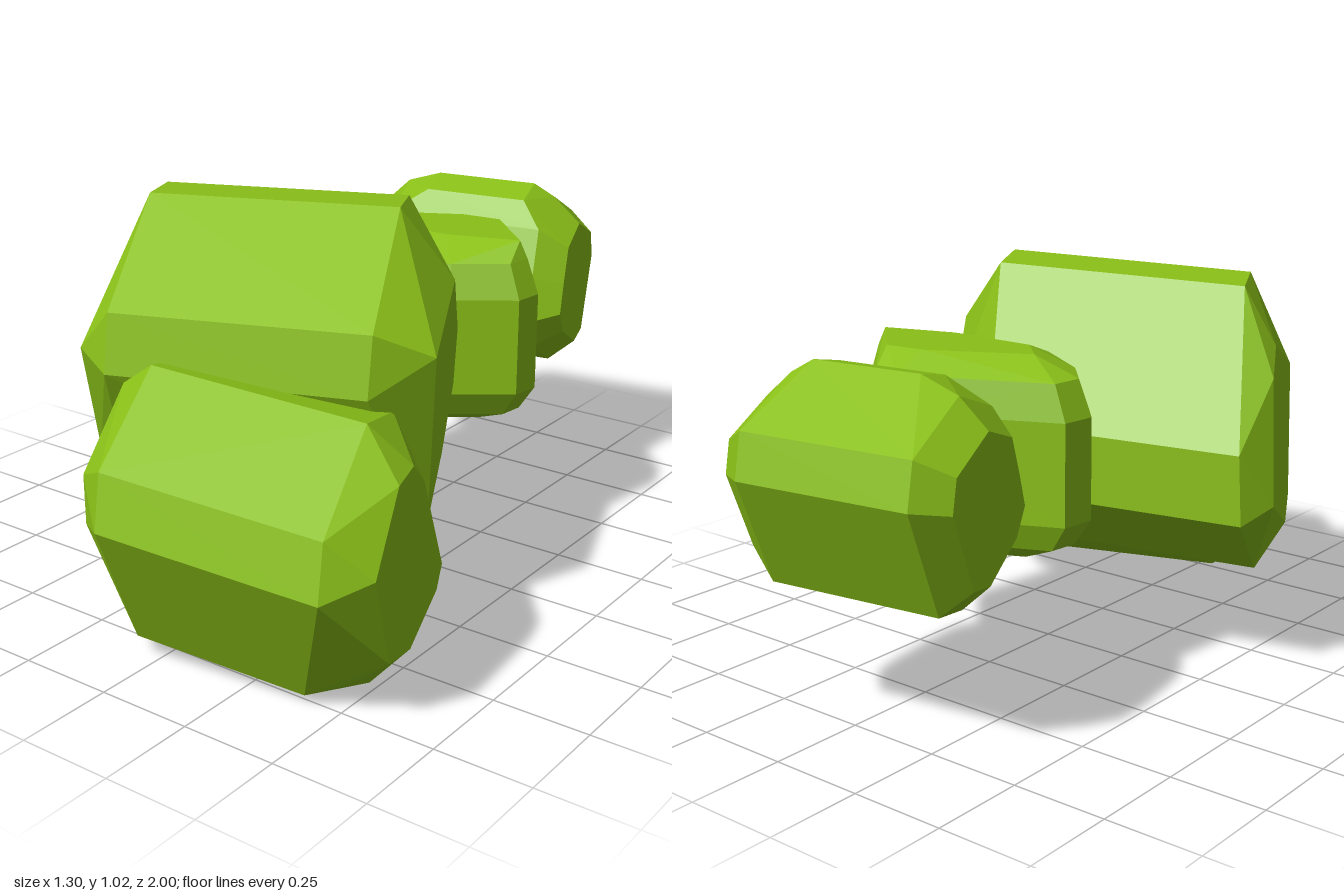
import * as THREE from 'three';
import { ConvexGeometry } from 'three/addons/geometries/ConvexGeometry.js';

const material = new THREE.MeshStandardMaterial({ color: 0x8ac018, flatShading: true });

// A bevelled boulder: cross-sections [offset, outline] put in place by a sheared frame
function boulder(name, sections, place) {
  const points = sections.flatMap(([t, outline]) => outline.map(([a, b]) => place(t, a, b)));
  const mesh = new THREE.Mesh(new ConvexGeometry(points), material);
  mesh.name = name;
  return mesh;
}

// Outline scaled about the middle of its bounds
function shrink(outline, scale) {
  const mid = [0, 1].map((i) => {
    const values = outline.map((p) => p[i]);
    return (Math.min(...values) + Math.max(...values)) / 2;
  });
  return outline.map((p) => p.map((value, i) => mid[i] + (value - mid[i]) * scale));
}

// Frame for boulders lying along x, with (z, y) outlines:
// rise and drift tilt the long axis, skew and lean slant the ends.
const lying = (x, zMid, rise, drift, skew, lean) => (t, z, y) =>
  new THREE.Vector3(x + t + skew * (z - zMid) + lean * (y - 0.64), y + rise * t, z + drift * t);

// Frame for the boulder standing along y, with (x, z) outlines
const standing = (t, x, z) => new THREE.Vector3(x, t, z);

export function createModel() {
  const group = new THREE.Group();
  group.name = 'boulderRow';

  // Front boulder, with one lower front corner cut off
  const frontBody = [[0.963, 0.39], [0.93, 0.525], [0.66, 0.685], [0.48, 0.645],
    [0.42, 0.56], [0.33, 0.27], [0.35, 0.17], [0.64, 0.025], [0.775, 0.1]];
  const frontToe = [[0.79, 0.04]];
  const frontLeft = [[0.88, 0.44], [0.73, 0.595], [0.63, 0.6], [0.55, 0.53],
    [0.4, 0.25], [0.44, 0.2], [0.64, 0.15], [0.79, 0.195]];
  const frontRight = [[0.85, 0.46], [0.85, 0.335], [0.64, 0.61], [0.7, 0.075],
    [0.44, 0.53], [0.44, 0.25]];
  group.add(boulder('frontBoulder',
    [[-0.385, frontRight], [-0.29, frontBody], [-0.29, frontToe], [0.17, frontToe],
      [0.28, frontBody], [0.385, frontLeft]],
    lying(0.2, 0.66, -0.07, -0.13, 0.3, 0)));

  // Largest boulder, with one broad sloping back face
  const largeBody = [[0.575, 0.81], [0.6, 0.66], [0.42, 0.3], [0.3, 0.21], [0.2, 0.23],
    [-0.1, 0.45], [-0.1, 0.63], [0.1, 1.01], [0.25, 1.02]];
  const largeRight = [[-0.03, 0.49], [0.03, 0.8], [0.11, 0.865], [0.565, 0.71],
    [0.425, 0.375], [0.315, 0.33]];
  const largeLeft = [[0.5, 0.74], [0.2, 0.83], [0.03, 0.64], [0.01, 0.51],
    [0.21, 0.37], [0.44, 0.29]];
  group.add(boulder('largeBoulder',
    [[-0.435, largeRight], [-0.36, largeBody], [0.29, largeBody], [0.43, largeLeft]],
    lying(-0.06, 0.25, 0.03, -0.28, 0.5, 0.06)));

  // Small upright boulder
  const smallBody = [[-0.34, -0.26], [-0.25, -0.16], [-0.06, -0.04], [0.25, -0.08],
    [0.39, -0.18], [0.4, -0.26], [0.16, -0.52], [0.07, -0.53], [-0.33, -0.35]];
  const smallTop = [[-0.18, -0.28], [0.07, -0.41], [0.18, -0.42], [0.34, -0.26],
    [0.15, -0.2], [-0.1, -0.2]];
  group.add(boulder('smallBoulder',
    [[0.36, shrink(smallBody, 0.6)], [0.4, shrink(smallBody, 0.87)], [0.47, smallBody],
      [0.73, smallBody], [0.82, shrink(smallBody, 0.9)], [0.866, smallTop]],
    standing));

  // Back boulder, with a short ridge on top
  const backBody = [[-0.48, 0.55], [-0.52, 0.67], [-0.57, 0.8], [-0.73, 0.86],
    [-0.94, 0.77], [-0.967, 0.66], [-0.84, 0.38], [-0.73, 0.36], [-0.54, 0.46]];
  const backRidge = [[-0.61, 0.87], [-0.72, 0.895]];
  const backEnd = shrink(backBody, 0.72);
  group.add(boulder('backBoulder',
    [[-0.31, backEnd], [-0.235, backBody], [-0.13, backRidge],
      [0.17, backRidge], [0.23, backBody], [0.31, backEnd]],
    lying(-0.07, -0.73, 0, -0.14, 0.26, 0)));

  return group;
}
